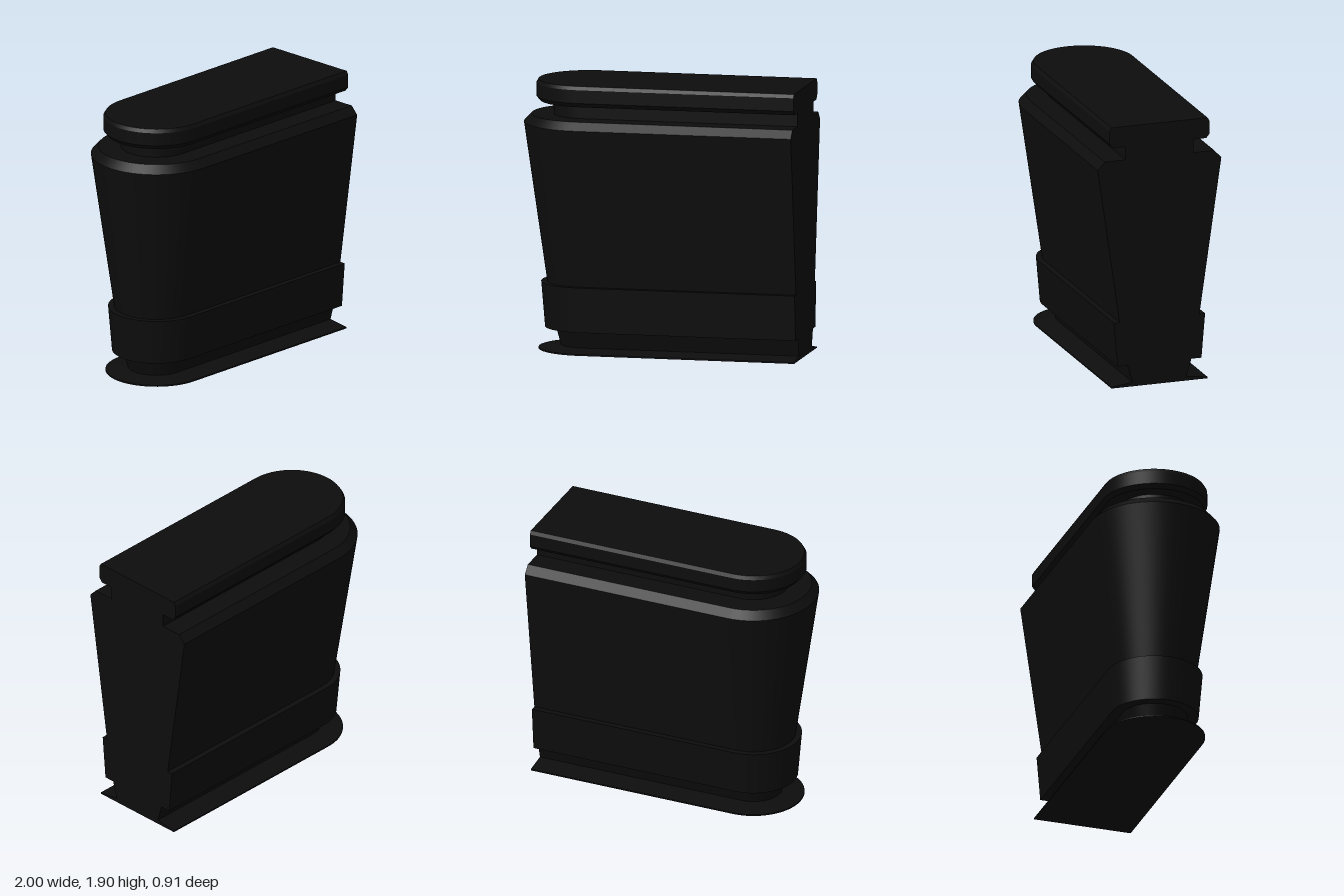
import * as THREE from 'three';

const ARC_X = -0.54; // centre of the rounded end
const END_X = 1;     // flat end
const ARC_STEPS = 32;

// Footprint path: [anchor x, direction x, direction z], front side round to the back side
const path = [[END_X, 0, 1]];
for (let i = 0; i <= ARC_STEPS; i++) {
  const a = Math.PI / 2 + (Math.PI * i) / ARC_STEPS;
  path.push([ARC_X, Math.cos(a), Math.sin(a)]);
}
path.push([END_X, 0, -1]);

// Sweep a [half width, height] profile round the footprint, sharp between profile segments
function sweep(profile) {
  const pos = [], nor = [], idx = [];
  for (let s = 0; s < profile.length - 1; s++) {
    const [r0, y0] = profile[s], [r1, y1] = profile[s + 1];
    const len = Math.hypot(r1 - r0, y1 - y0);
    const nr = (y1 - y0) / len, ny = (r0 - r1) / len;
    const start = pos.length / 3;
    for (const [x, dx, dz] of path) {
      pos.push(x + dx * r0, y0, dz * r0, x + dx * r1, y1, dz * r1);
      for (let k = 0; k < 2; k++) nor.push(dx * nr, ny, dz * nr);
    }
    for (let i = 0; i < path.length - 1; i++) {
      const a = start + i * 2;
      idx.push(a, a + 1, a + 2, a + 2, a + 1, a + 3);
    }
  }
  const g = new THREE.BufferGeometry();
  g.setAttribute('position', new THREE.Float32BufferAttribute(pos, 3));
  g.setAttribute('normal', new THREE.Float32BufferAttribute(nor, 3));
  g.setIndex(idx);
  return g;
}

// Flat end face: the profile mirrored into a closed outline
function endFace(profile) {
  const side = profile.filter(([r]) => r > 0);
  const outline = [...side, ...side.map(([r, y]) => [-r, y]).reverse()];
  const shape = new THREE.Shape(outline.map(([r, y]) => new THREE.Vector2(r, y)));
  return new THREE.ShapeGeometry(shape).rotateY(Math.PI / 2).translate(END_X, 0, 0);
}

export function createModel() {
  const black = new THREE.MeshStandardMaterial({ color: 0x0d0d0d });
  black.name = 'black';

  const parts = {
    basePlate: [[0, 0], [0.355, 0], [0.355, 0.01], [0.2, 0.03]],
    foot: [[0.2, 0.03], [0.235, 0.155]],
    lowerBand: [[0.235, 0.155], [0.31, 0.155], [0.337, 0.475], [0.295, 0.475]],
    body: [[0.295, 0.475], [0.457, 1.6], [0.405, 1.656], [0.25, 1.656]],
    neck: [[0.25, 1.656], [0.25, 1.752]],
    topSlab: [[0.25, 1.752], [0.345, 1.752], [0.37, 1.782], [0.37, 1.875], [0.355, 1.9], [0, 1.9]],
  };

  const model = new THREE.Group();
  model.name = 'counter';
  for (const [name, profile] of Object.entries(parts)) {
    const part = new THREE.Group();
    part.name = name;
    const wall = new THREE.Mesh(sweep(profile), black);
    wall.name = name + 'Wall';
    const end = new THREE.Mesh(endFace(profile), black);
    end.name = name + 'End';
    part.add(wall, end);
    model.add(part);
  }
  return model;
}
